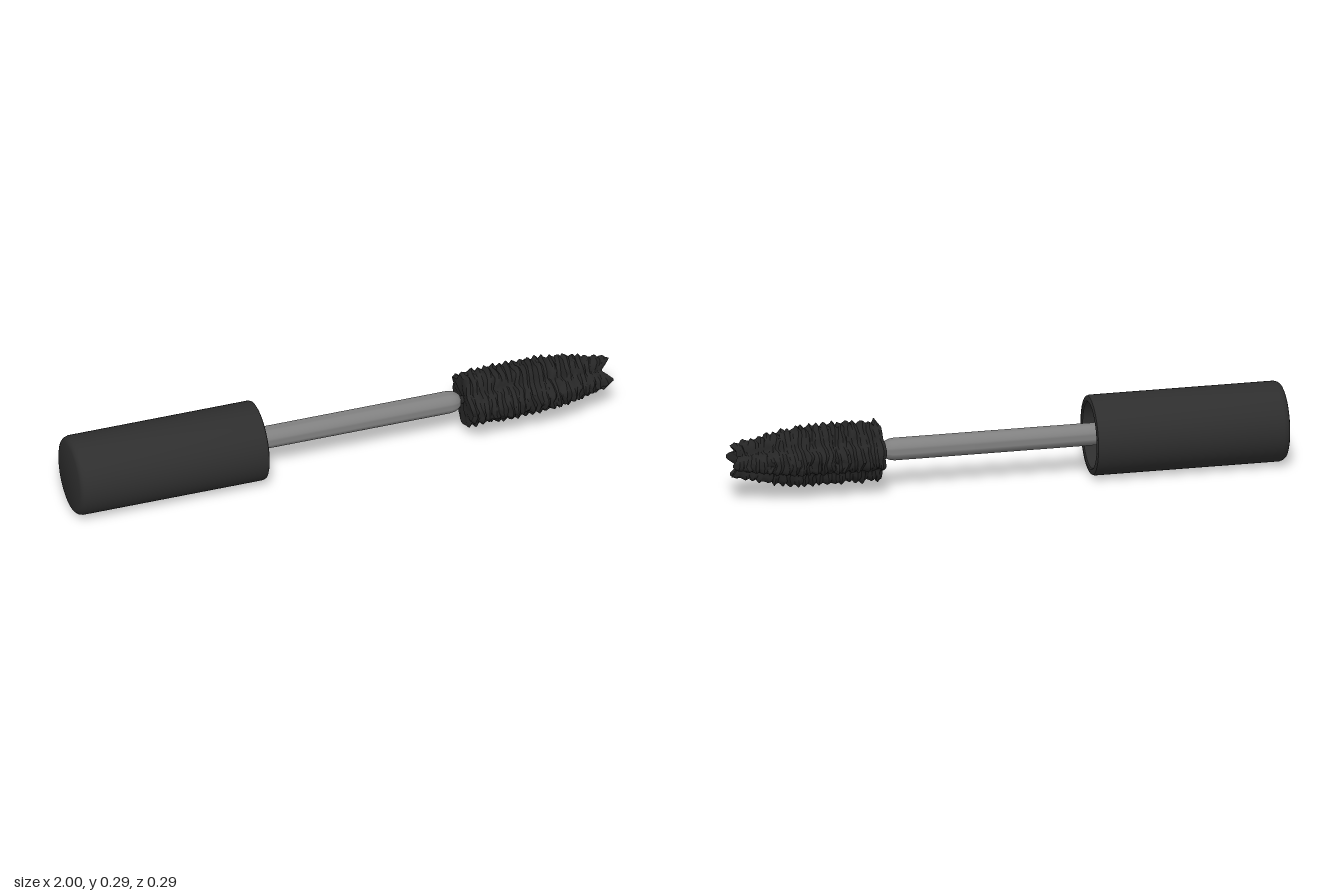
import * as THREE from 'three';
import { mergeVertices, toCreasedNormals } from 'three/addons/utils/BufferGeometryUtils.js';

const AXIS_Y = 0.143;

// Lathe profile given as [position along x, radius], turned around the x axis
function turned(profile, segments) {
  const points = profile.map(([x, r]) => new THREE.Vector2(r, x));
  return new THREE.LatheGeometry(points, segments).rotateZ(-Math.PI / 2);
}

// Repeatable pseudo-random value from two integers, 0..1
function hash(i, j) {
  const s = Math.sin(i * 127.1 + j * 311.7) * 43758.5453;
  return s - Math.floor(s);
}

// Noise that varies smoothly around the brush and wraps at a full turn
function ringNoise(row, turn, sectors) {
  const t = turn * sectors;
  const k = Math.floor(t);
  const f = t - k;
  return hash(row, k % sectors) * (1 - f) + hash(row, (k + 1) % sectors) * f;
}

// Cap: rounded outer shell, open at one end, with a threaded socket inside
function capGeometry() {
  const profile = [[-1, 0], [-1, 0.122], [-0.996, 0.132], [-0.988, 0.139], [-0.975, 0.143],
    [-0.312, 0.143], [-0.303, 0.14], [-0.3, 0.134], [-0.3, 0.122], [-0.304, 0.117], [-0.345, 0.116]];
  for (let i = 0; i < 6; i++) {
    const x = -0.355 - i * 0.032;
    profile.push([x, 0.116], [x - 0.008, 0.108], [x - 0.016, 0.108], [x - 0.024, 0.116]);
  }
  profile.push([-0.6, 0.116], [-0.6, 0]);
  return toCreasedNormals(turned(profile, 64), 0.6);
}

// Rod: slim stem with a rounded shoulder where the brush starts
function rodGeometry() {
  const profile = [[-0.6, 0.04], [0.405, 0.04], [0.42, 0.038], [0.435, 0.032], [0.446, 0.022], [0.45, 0.012], [0.45, 0]];
  return toCreasedNormals(turned(profile, 32), 0.7);
}

// Brush: four bristle lobes with deep diagonal grooves and uneven ribs along the length
function brushGeometry() {
  const start = 0.457, end = 0.985, ribs = 20, perRib = 4, segments = 96;
  const rows = ribs * perRib;
  const profile = [[start + 0.005, 0], [start, 0.5]];
  for (let i = 0; i <= rows; i++) profile.push([start + (end - start) * i / rows, 1]);
  profile.push([end - 0.006, 0.7], [end - 0.02, 0.35], [end - 0.02, 0]);
  const geometry = turned(profile, segments);
  const pos = geometry.attributes.position;
  const count = profile.length;
  for (let v = 0; v < pos.count; v++) {
    const row = v % count;
    const [x, r] = profile[row];
    const turn = (Math.floor(v / count) % segments) / segments;
    const a = turn * Math.PI * 2;
    const u = THREE.MathUtils.clamp((x - start) / (end - start), 0, 1);
    const taper = Math.max(0, (u - 0.52) / 0.48);
    const ry = 0.108 - 0.046 * taper ** 1.4;
    const rz = 0.123 - 0.062 * taper ** 1.7;
    const groove = 1 - (0.3 + 0.12 * taper) * Math.abs(Math.sin(2 * a)) ** 4;
    const rib = Math.floor((row - 2) / perRib);
    const phase = ((row - 2 + perRib) % perRib) / perRib;
    const tooth = 1 - 0.11 * Math.abs(2 * phase - 1);
    const bump = 0.92 + 0.11 * ringNoise(rib, turn, 28) + 0.07 * ringNoise(row + 50, turn, 40);
    const k = r * groove * tooth * bump;
    const shift = r * ((ringNoise(rib + 90, turn, 20) - 0.5) * 0.014
      + (u > 0.9 ? 0.012 * (u - 0.9) / 0.1 * Math.cos(4 * a) : 0));
    pos.setXYZ(v, Math.min(1, Math.max(0.452, x + shift)), Math.cos(a) * ry * k, Math.sin(a) * rz * k);
  }
  // Keep faces outward whichever way the cross-section was traversed
  const index = geometry.index;
  const p = [0, 1, 2].map(() => new THREE.Vector3());
  let volume = 0;
  for (let i = 0; i < index.count; i += 3) {
    p.forEach((q, n) => q.fromBufferAttribute(pos, index.getX(i + n)));
    volume += p[0].dot(p[1].clone().cross(p[2]));
  }
  if (volume < 0) {
    for (let i = 0; i < index.count; i += 3) {
      const b = index.getX(i + 1);
      index.setX(i + 1, index.getX(i + 2));
      index.setX(i + 2, b);
    }
  }
  geometry.deleteAttribute('normal');
  geometry.deleteAttribute('uv');
  return toCreasedNormals(mergeVertices(geometry, 1e-5), 0.7);
}

export function createModel() {
  const material = (name, color) => {
    const m = new THREE.MeshStandardMaterial({ color });
    m.name = name;
    return m;
  };
  const capBlack = material('capBlack', 0x2e2e2e);
  const rodGrey = material('rodGrey', 0x808080);
  const bristleBlack = material('bristleBlack', 0x262626);

  const model = new THREE.Group();
  model.name = 'mascaraWand';
  const add = (name, geometry, mat, y = AXIS_Y) => {
    const mesh = new THREE.Mesh(geometry, mat);
    mesh.name = name;
    mesh.position.y = y;
    model.add(mesh);
  };

  add('cap', capGeometry(), capBlack);
  add('rod', rodGeometry(), rodGrey, 0.147);
  add('brush', brushGeometry(), bristleBlack, 0.148);

  // Thin wire core joining the rod to the brush
  const core = new THREE.CylinderGeometry(0.014, 0.014, 0.06, 12).rotateZ(Math.PI / 2).translate(0.46, 0, 0);
  add('brushCore', core, bristleBlack, 0.147);
  return model;
}
